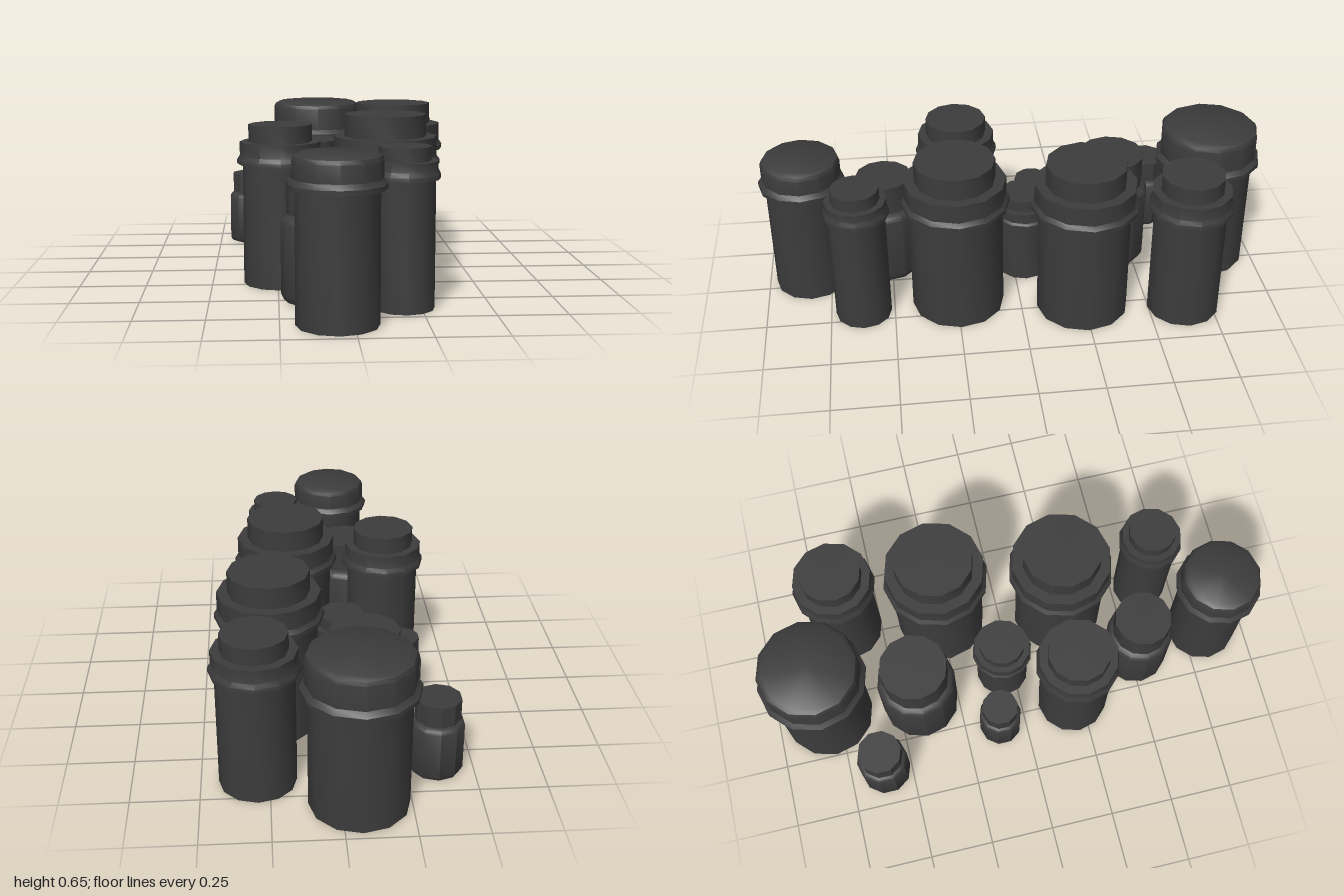
import * as THREE from 'three';
import { toCreasedNormals } from 'three/addons/utils/BufferGeometryUtils.js';

const material = new THREE.MeshStandardMaterial({ color: 0x3c3c3c });

// Turn a list of [radius, y] points into one faceted jar part
function turned(name, profile, sides) {
  const points = profile.map(([r, y]) => new THREE.Vector2(r, y));
  const geometry = toCreasedNormals(new THREE.LatheGeometry(points, sides), 0.6);
  const mesh = new THREE.Mesh(geometry, material);
  mesh.name = name;
  return mesh;
}

// Straight body of the tall containers
function straightBody(r, top, sides) {
  return turned('body', [[0, 0], [r, 0], [r, top], [0, top]], sides);
}

// Container with a flanged collar and a narrower cap
function steppedJar({ r, body, collar, cap, base = 0.462, shoulder, h, sides = 12 }) {
  const lip = base * 0.035;
  return [
    straightBody(body, base, sides),
    turned('collar', [[0, base], [r, base], [r, base + lip], [collar, base + 2 * lip],
      [collar, shoulder], [0, shoulder]], sides),
    turned('cap', [[0, shoulder], [cap, shoulder], [cap, h], [0, h]], sides),
  ];
}

// Container with a wide bevelled lid above a flange
function liddedJar({ r, body, lid, h, base = 0.462, sides = 12 }) {
  return [
    straightBody(body, base, sides),
    turned('lid', [[0, base], [r, base], [r, base + 0.016], [lid, base + 0.034],
      [lid, h - 0.025], [lid - 0.006, h - 0.011], [lid - 0.024, h], [0, h]], sides),
  ];
}

// Bottle with rounded base and shoulder, a short neck and a cap
function bottle({ r, h, sides = 12 }) {
  return [
    turned('body', [[0, 0], [0.75 * r, 0], [0.92 * r, 0.02 * h], [r, 0.07 * h], [r, 0.66 * h],
      [0.95 * r, 0.69 * h], [0.84 * r, 0.715 * h], [0.66 * r, 0.72 * h],
      [0.66 * r, 0.745 * h], [0, 0.745 * h]], sides),
    turned('cap', [[0, 0.735 * h], [0.85 * r, 0.735 * h], [0.85 * r, h], [0, h]], sides),
  ];
}

const large = { r: 0.207, body: 0.181, collar: 0.195, cap: 0.154, shoulder: 0.567, h: 0.65 };
const medium = { r: 0.163, body: 0.142, collar: 0.153, cap: 0.12, shoulder: 0.545, h: 0.61 };
const slim = { r: 0.125, body: 0.109, collar: 0.117, cap: 0.092, shoulder: 0.525, h: 0.575 };
const short = { r: 0.12, body: 0.105, collar: 0.113, cap: 0.09, base: 0.257, shoulder: 0.315, h: 0.362 };

const containers = [
  ['backLiddedJar', -0.063, -0.79, liddedJar, { r: 0.21, body: 0.182, lid: 0.193, h: 0.614 }],
  ['frontLiddedJar', -0.055, 0.83, liddedJar, { r: 0.167, body: 0.143, lid: 0.153, h: 0.582 }],
  ['largeJarBack', 0.235, -0.243, steppedJar, large],
  ['largeJarFront', 0.157, 0.245, steppedJar, large],
  ['mediumJarBack', 0.293, -0.638, steppedJar, medium],
  ['mediumJarFront', -0.238, 0.212, steppedJar, medium],
  ['slimJar', 0.19, 0.622, steppedJar, slim],
  ['shortJar', -0.052, -0.043, steppedJar, short],
  ['largeBottle', -0.11, -0.406, bottle, { r: 0.155, h: 0.48 }],
  ['mediumBottle', -0.111, 0.514, bottle, { r: 0.131, h: 0.44 }],
  ['smallBottle', -0.36, -0.605, bottle, { r: 0.1, h: 0.308, sides: 10 }],
  ['tinyBottle', -0.284, -0.106, bottle, { r: 0.084, h: 0.28, sides: 10 }],
];

export function createModel() {
  const model = new THREE.Group();
  model.name = 'containers';
  for (const [name, x, z, build, size] of containers) {
    const group = new THREE.Group();
    group.name = name;
    group.position.set(x, 0, z);
    group.add(...build(size));
    model.add(group);
  }
  return model;
}
